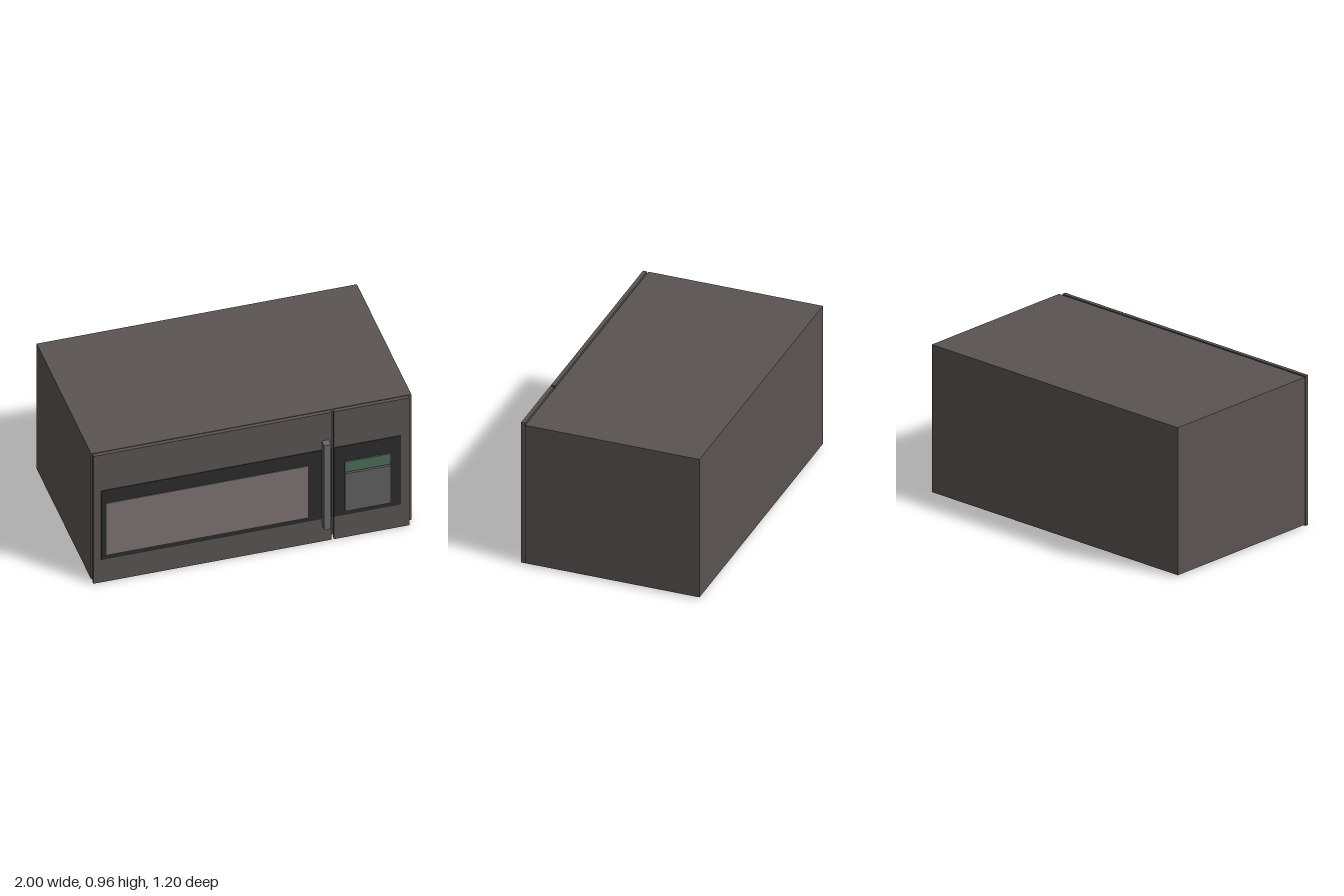
import * as THREE from 'three';

const mat = (color) => new THREE.MeshStandardMaterial({ color });

export function createModel() {
  const model = new THREE.Group();
  const casing = mat(0x5a5452), trim = mat(0x2a2c2a), glass = mat(0x7d7373);
  const steel = mat(0x6a6a6a), green = mat(0x4a6b58), keys = mat(0x606060);

  // Box given by its limits on each axis
  function box(name, material, [x0, x1], [y0, y1], [z0, z1], parent = model) {
    const mesh = new THREE.Mesh(new THREE.BoxGeometry(x1 - x0, y1 - y0, z1 - z0), material);
    mesh.position.set((x0 + x1) / 2, (y0 + y1) / 2, (z0 + z1) / 2);
    mesh.name = name;
    parent.add(mesh);
    return mesh;
  }

  // Oven casing
  box('body', casing, [-1, 1], [0.012, 0.96], [-0.602, 0.52]);

  // Door with dark surround, window and upright handle
  const door = new THREE.Group();
  door.name = 'door';
  model.add(door);
  box('doorSlab', casing, [-0.995, 0.493], [0, 0.963], [0.528, 0.553], door);
  box('doorTrim', trim, [-0.947, 0.493], [0.172, 0.692], [0.55, 0.557], door);
  box('window', glass, [-0.915, 0.343], [0.207, 0.595], [0.555, 0.561], door);
  box('handle', steel, [0.431, 0.475], [0.122, 0.76], [0.55, 0.602], door);

  // Control panel with display and keypad
  const panel = new THREE.Group();
  panel.name = 'controlPanel';
  model.add(panel);
  box('panelSlab', casing, [0.507, 0.98], [0, 0.963], [0.528, 0.553], panel);
  box('panelTrim', trim, [0.507, 0.926], [0.172, 0.692], [0.55, 0.557], panel);
  box('display', green, [0.571, 0.858], [0.5, 0.578], [0.555, 0.567], panel);
  box('keypad', keys, [0.571, 0.858], [0.21, 0.493], [0.555, 0.573], panel);
  // Mount joining the panel to the casing
  box('panelMount', trim, [0.571, 0.868], [0.53, 0.63], [0.515, 0.53], panel);

  return model;
}
